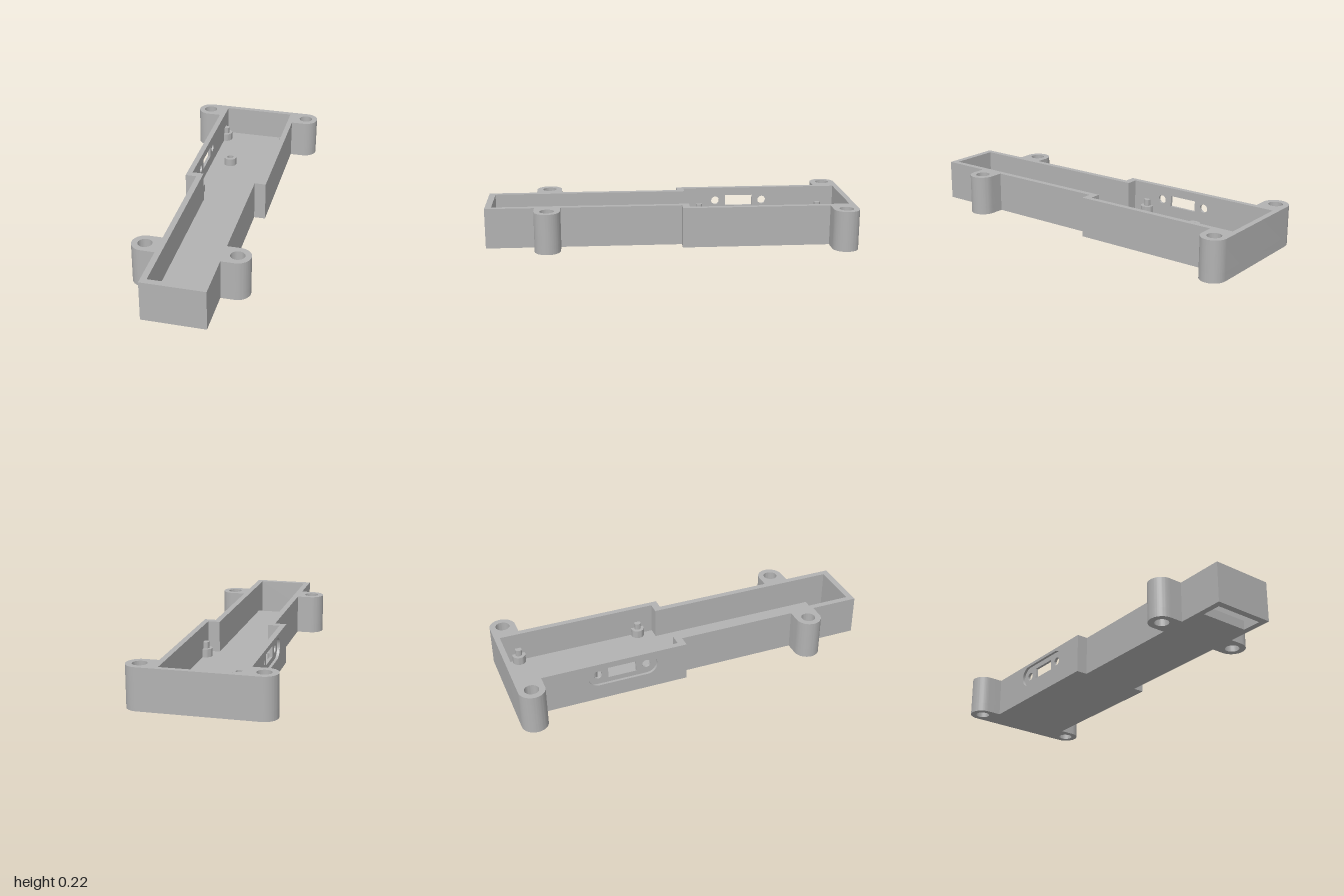
import * as THREE from 'three';
import { toCreasedNormals } from 'three/addons/utils/BufferGeometryUtils.js';

const FLOOR = 0.05, TOP = 0.22, POST_TOP = 0.095;
const PANEL = [0.14, 0.7]; // extent of the port panel, measured towards the back

function circle(x, y, r) {
  return new THREE.Path().absarc(x, y, r, 0, Math.PI * 2, true);
}

function rect(x0, y0, x1, y1) {
  return new THREE.Path([[x0, y0], [x0, y1], [x1, y1], [x1, y0]].map(p => new THREE.Vector2(...p))).closePath();
}

// Plan outline: x across, y towards the back; inner path turns it into a C-shaped wall
function plan(inner) {
  const s = new THREE.Shape(), h = Math.PI / 2;
  const line = pts => pts.forEach(([x, y]) => s.lineTo(x, y));
  s.moveTo(0.168, -1);
  line([[0.168, -0.735], [0.24, -0.735]]);
  s.absarc(0.24, -0.665, 0.07, -h, h, false);
  line([[0.168, -0.595], [0.168, 0.06], [0.23, 0.06], [0.23, 0.86], [0.305, 0.86]]);
  s.absarc(0.305, 0.93, 0.07, -h, h, false);
  line([[-0.305, 1]]);
  s.absarc(-0.305, 0.93, 0.07, h, 3 * h, false);
  line([[-0.23, 0.86]]);
  line(inner);
  line([[-0.23, 0.06], [-0.168, 0.06], [-0.168, -0.595], [-0.24, -0.595]]);
  s.absarc(-0.24, -0.665, 0.07, h, 3 * h, false);
  line([[-0.168, -0.735], [-0.168, -1]]);
  s.closePath();
  // Screw holes through the four lugs
  for (const side of [-1, 1]) {
    s.holes.push(circle(side * 0.305, 0.93, 0.038), circle(side * 0.24, -0.665, 0.038));
  }
  return s;
}

function extrude(shape, depth) {
  return new THREE.ExtrudeGeometry(shape, { depth, bevelEnabled: false, curveSegments: 24 });
}

export function createModel() {
  const group = new THREE.Group();
  const grey = new THREE.MeshStandardMaterial({ color: 0xb2b2b2 });
  grey.name = 'grey plastic';

  const add = (name, geometry, x = 0, y = 0, z = 0) => {
    const mesh = new THREE.Mesh(toCreasedNormals(geometry, 0.6), grey);
    mesh.name = name;
    mesh.position.set(x, y, z);
    group.add(mesh);
  };
  const upright = (shape, depth) => extrude(shape, depth).rotateX(-Math.PI / 2);

  // Floor with the cable opening at the front
  const floor = plan([]);
  floor.holes.push(rect(-0.136, -0.965, 0.136, -0.86));
  add('floor', upright(floor, FLOOR));

  // Walls, left open where the port panel sits
  const walls = plan([
    [-0.23, PANEL[1]], [-0.2, PANEL[1]], [-0.2, 0.97], [0.2, 0.97], [0.2, 0.1], [0.136, 0.1],
    [0.136, -0.965], [-0.136, -0.965], [-0.136, 0.1], [-0.2, 0.1], [-0.2, PANEL[0]], [-0.23, PANEL[0]],
  ]);
  add('walls', upright(walls, TOP - FLOOR), 0, FLOOR);

  // Port panel: outer layer with a rounded recess, inner layer with the openings
  const panel = () => {
    const [a, b] = PANEL;
    return new THREE.Shape([[a, FLOOR], [b, FLOOR], [b, TOP], [a, TOP]].map(p => new THREE.Vector2(...p)));
  };
  const portS = 0.42, portY = 0.145, spread = 0.135;
  const outer = panel();
  const slot = new THREE.Path();
  slot.absarc(portS + spread, portY, 0.058, -Math.PI / 2, Math.PI / 2, false);
  slot.absarc(portS - spread, portY, 0.058, Math.PI / 2, Math.PI * 1.5, false);
  slot.closePath();
  outer.holes.push(slot);
  const inner = panel();
  inner.holes.push(
    circle(portS - spread, portY, 0.023),
    circle(portS + spread, portY, 0.023),
    rect(portS - 0.078, portY - 0.03, portS + 0.078, portY + 0.03),
  );
  add('portRecess', extrude(outer, 0.015).rotateY(Math.PI / 2), -0.23);
  add('portPanel', extrude(inner, 0.015).rotateY(Math.PI / 2), -0.215);

  // Corner posts with locating pins, partly sunk into the walls
  const h = POST_TOP - FLOOR;
  for (const x of [-0.191, 0.189]) {
    for (const z of [-0.88, -0.19]) {
      add('cornerPost', new THREE.CylinderGeometry(0.036, 0.036, h, 32), x, FLOOR + h / 2, z);
      add('locatingPin', new THREE.CylinderGeometry(0.018, 0.018, 0.035, 24), x, POST_TOP + 0.0175, z);
    }
  }

  // Hollow screw post in the middle of the floor
  const ring = new THREE.Shape().absarc(0, 0, 0.037, 0, Math.PI * 2, false);
  ring.holes.push(circle(0, 0, 0.018));
  add('screwPost', upright(ring, h), -0.09, FLOOR, -0.56);

  return group;
}
